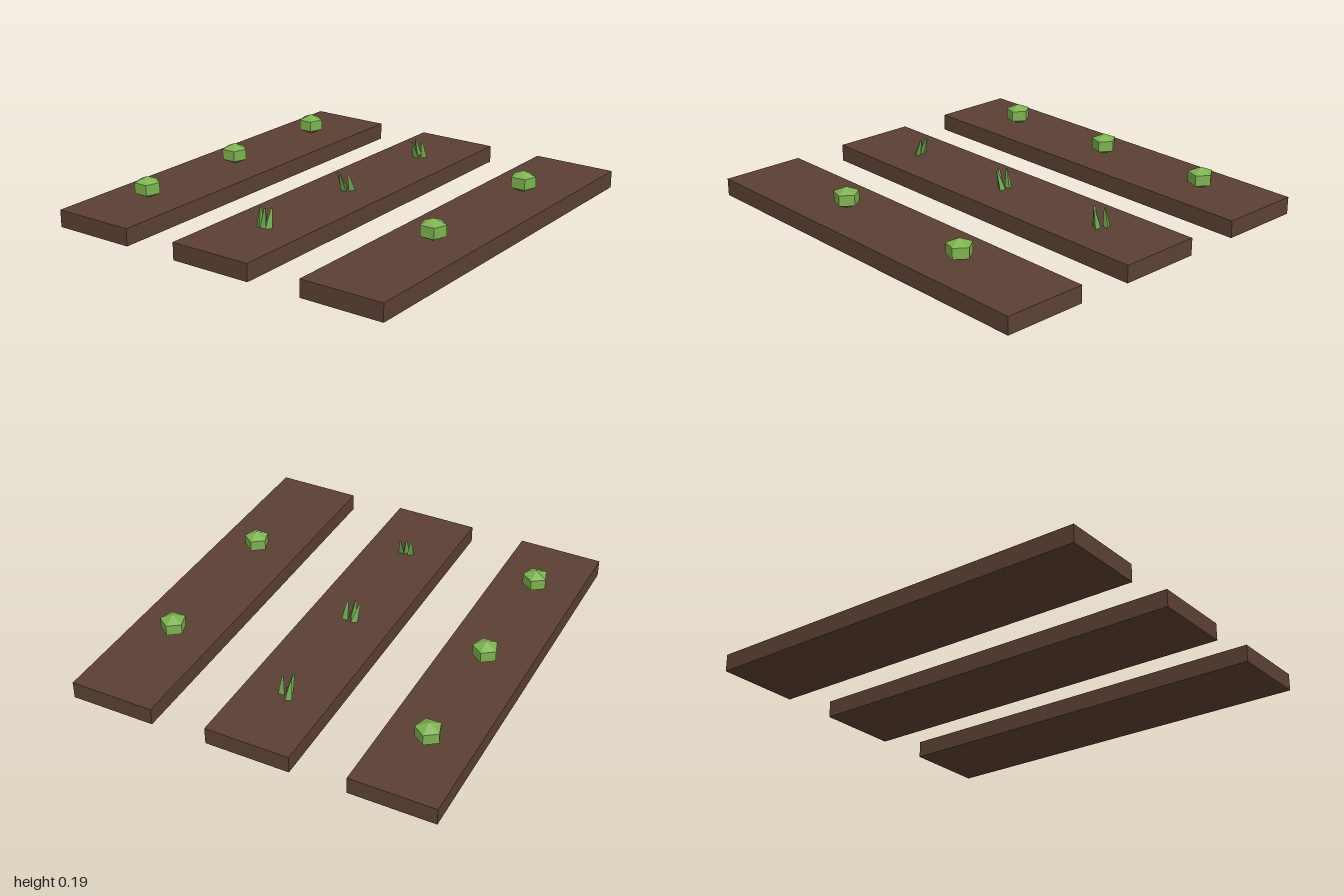
import * as THREE from 'three';

const soil = new THREE.MeshStandardMaterial({ color: 0x5c4033, flatShading: true });
const leaf = new THREE.MeshStandardMaterial({ color: 0x7cb34f, flatShading: true });
const sproutGreen = new THREE.MeshStandardMaterial({ color: 0x68a84c, flatShading: true });

const BED_TOP = 0.085;

function addMesh(parent, name, geometry, material, x, y, z) {
  const mesh = new THREE.Mesh(geometry, material);
  mesh.name = name;
  mesh.position.set(x, y, z);
  parent.add(mesh);
}

// Three-sided tapering blade, sheared so its base stays flat on the soil
function bladeGeometry(leanX, leanZ, turn) {
  const h = 0.088;
  const geo = new THREE.CylinderGeometry(0.005, 0.02, h, 3);
  geo.rotateY(turn);
  geo.translate(0, h / 2, 0);
  const shear = new THREE.Matrix4().set(
    1, leanX / h, 0, 0,
    0, 1, 0, 0,
    0, leanZ / h, 1, 0,
    0, 0, 0, 1);
  return geo.applyMatrix4(shear);
}

export function createModel() {
  const model = new THREE.Group();

  // Raised soil beds
  for (const x of [-0.696, 0, 0.696]) {
    addMesh(model, 'soilBed', new THREE.BoxGeometry(0.418, BED_TOP, 2), soil, x, BED_TOP / 2, 0);
  }

  // Round five-sided plants on the outer beds
  const head = new THREE.SphereGeometry(0.0715, 5, 3);
  head.rotateY(-Math.PI / 2);
  head.scale(1, 0.74, 1);
  const spots = [[-0.696, -0.635], [-0.696, 0], [-0.696, 0.635], [0.696, -0.475], [0.696, 0.318]];
  for (const [x, z] of spots) addMesh(model, 'leafyHead', head, leaf, x, 0.137, z);

  // Leaning sprouts on the middle bed: blades as [x, z, leanX, leanZ, turn]
  const sprouts = [
    { z: 0.62, blades: [[-0.022, 0.008, -0.012, -0.02, 0.5], [0.02, 0.005, -0.002, -0.03, 0], [0.004, 0.01, -0.01, -0.02, Math.PI]] },
    { z: 0, blades: [[-0.022, -0.012, -0.016, 0.03, 0.5], [0.022, -0.01, 0.002, 0.03, 0], [0, 0.015, -0.008, 0.025, Math.PI]] },
    { z: -0.635, blades: [[-0.022, -0.025, -0.004, 0.02, 0.5], [0.022, -0.002, 0.002, 0.015, 0], [0, 0.02, -0.012, 0.025, Math.PI]] },
  ];
  for (const { z, blades } of sprouts) {
    const sprout = new THREE.Group();
    sprout.name = 'sprout';
    sprout.position.set(0, BED_TOP - 0.003, z);
    for (const [bx, bz, leanX, leanZ, turn] of blades) {
      addMesh(sprout, 'blade', bladeGeometry(leanX, leanZ, turn), sproutGreen, bx, 0, bz);
    }
    model.add(sprout);
  }
  return model;
}
